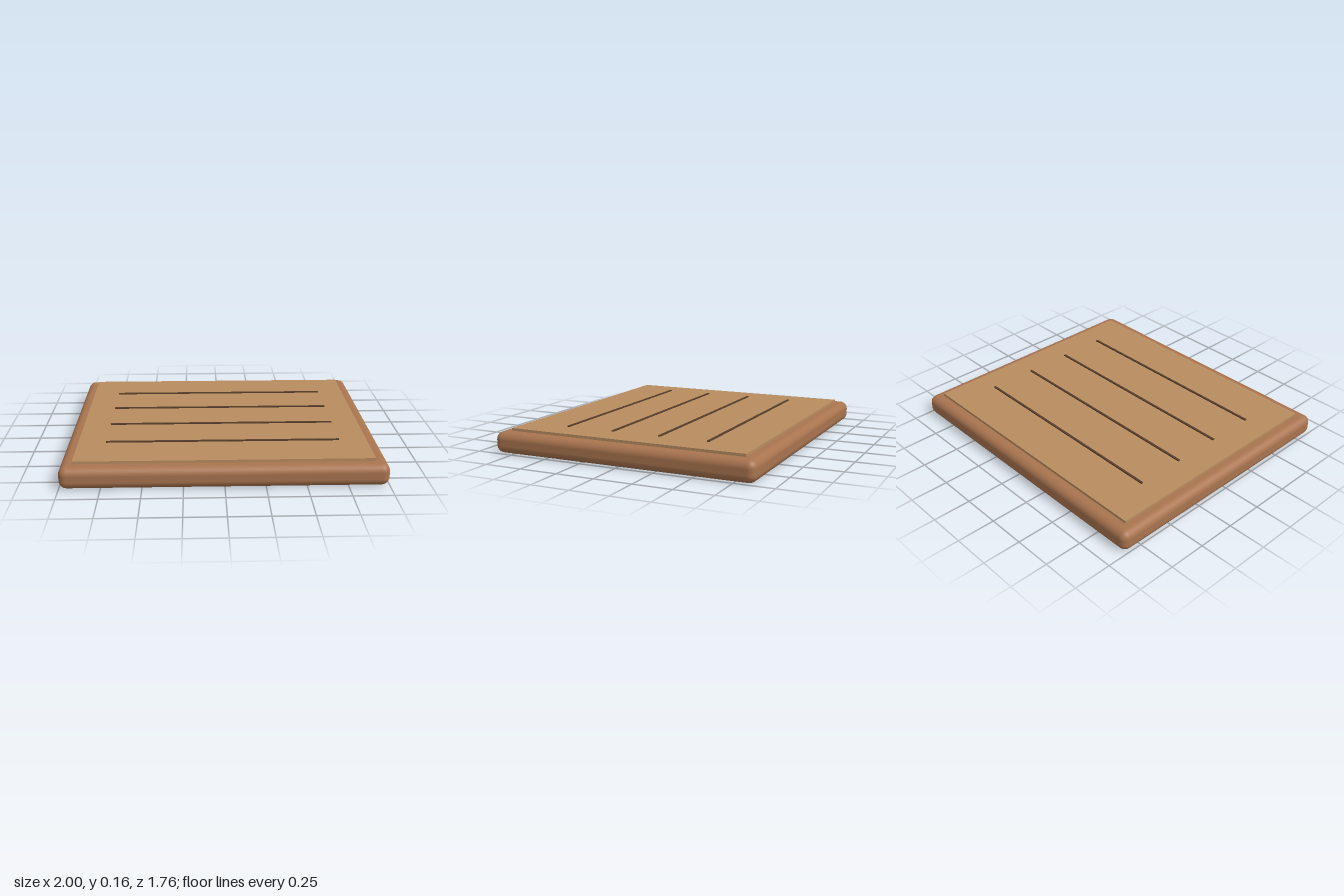
import * as THREE from 'three';
import { RoundedBoxGeometry } from 'three/addons/geometries/RoundedBoxGeometry.js';

export function createModel() {
  const group = new THREE.Group();
  const baseWood = new THREE.MeshStandardMaterial({ color: 0xa9744f });
  const panelWood = new THREE.MeshStandardMaterial({ color: 0xb98d60 });
  const darkWood = new THREE.MeshStandardMaterial({ color: 0x5a3f2c });

  function add(name, geometry, material, y, z = 0) {
    const mesh = new THREE.Mesh(geometry, material);
    mesh.name = name;
    mesh.position.set(0, y, z);
    group.add(mesh);
  }

  // Rounded slab standing on the ground
  const baseTop = 0.138;
  add('base', new RoundedBoxGeometry(2, baseTop, 1.76, 4, 0.05), baseWood, baseTop / 2);

  // Thin raised panel, sunk slightly into the slab
  const panelTop = 0.155, panelHeight = 0.037;
  add('topPanel', new THREE.BoxGeometry(1.84, panelHeight, 1.595), panelWood, panelTop - panelHeight / 2);

  // Four narrow dark strips running across the panel
  const stripTop = 0.163, stripHeight = 0.014;
  for (let i = 0; i < 4; i++) {
    const z = (i - 1.5) * 0.325;
    add('strip' + (i + 1), new THREE.BoxGeometry(1.485, stripHeight, 0.014), darkWood, stripTop - stripHeight / 2, z);
  }
  return group;
}
